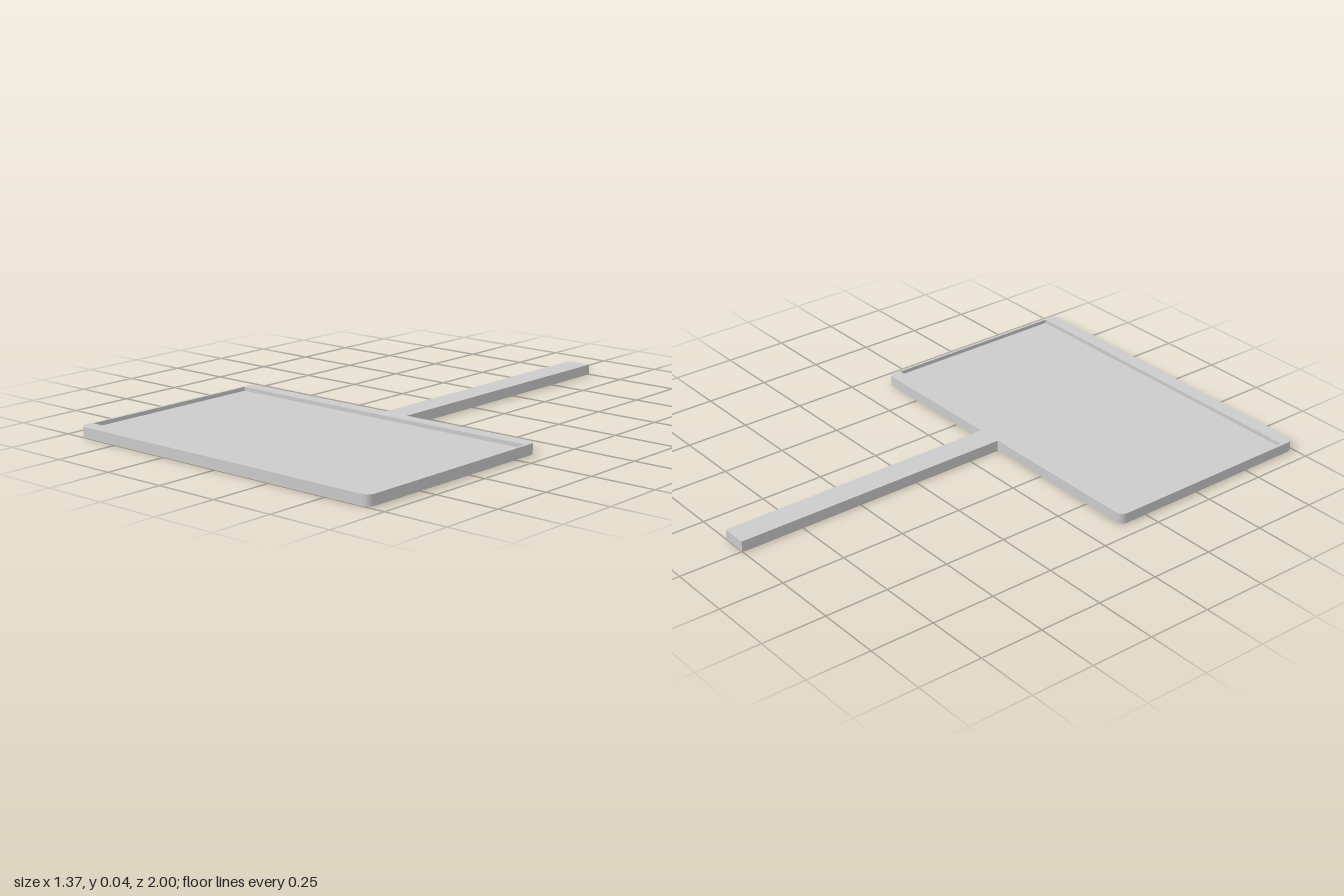
import * as THREE from 'three';
import { toCreasedNormals } from 'three/addons/utils/BufferGeometryUtils.js';

const HEIGHT = 0.04;
const FLOOR = 0.025; // top of the recessed panel
const BOARD = { x: 0.685, back: 0.133, front: 1, radius: 0.03 };
const RECESS = { x: 0.675, back: 0.185, front: 0.943 };

// Rounded rectangle in plan; shape y is -z
function roundedPlan({ x, back, front, radius: r }) {
  const s = new THREE.Shape();
  s.absarc(x - r, -back - r, r, 0, Math.PI / 2);
  s.absarc(-x + r, -back - r, r, Math.PI / 2, Math.PI);
  s.absarc(-x + r, -front + r, r, Math.PI, Math.PI * 1.5);
  s.absarc(x - r, -front + r, r, Math.PI * 1.5, Math.PI * 2);
  s.closePath();
  return s;
}

// Extrude a plan shape upward from y0 to y1
function slab(shape, y0, y1) {
  const g = new THREE.ExtrudeGeometry(shape, { depth: y1 - y0, bevelEnabled: false, curveSegments: 8 });
  g.rotateX(-Math.PI / 2).translate(0, y0, 0);
  return toCreasedNormals(g, 0.6);
}

export function createModel() {
  const model = new THREE.Group();
  const material = new THREE.MeshStandardMaterial({ color: 0xcccccc });
  const add = (name, geometry) => {
    const mesh = new THREE.Mesh(geometry, material);
    mesh.name = name;
    model.add(mesh);
    return mesh;
  };

  // Base of the board, its top forming the recessed panel
  add('boardBase', slab(roundedPlan(BOARD), 0, FLOOR));

  // Raised rim around the square-cornered recess
  const rim = roundedPlan(BOARD);
  const { x, back, front } = RECESS;
  rim.holes.push(new THREE.Path([
    new THREE.Vector2(-x, -front), new THREE.Vector2(-x, -back),
    new THREE.Vector2(x, -back), new THREE.Vector2(x, -front),
  ]));
  add('rim', slab(rim, FLOOR, HEIGHT));

  // Flat handle, set to one side of the centre line
  const length = BOARD.back + 1;
  add('handle', new THREE.BoxGeometry(0.1, HEIGHT, length))
    .position.set(0.05, HEIGHT / 2, -1 + length / 2);

  return model;
}
